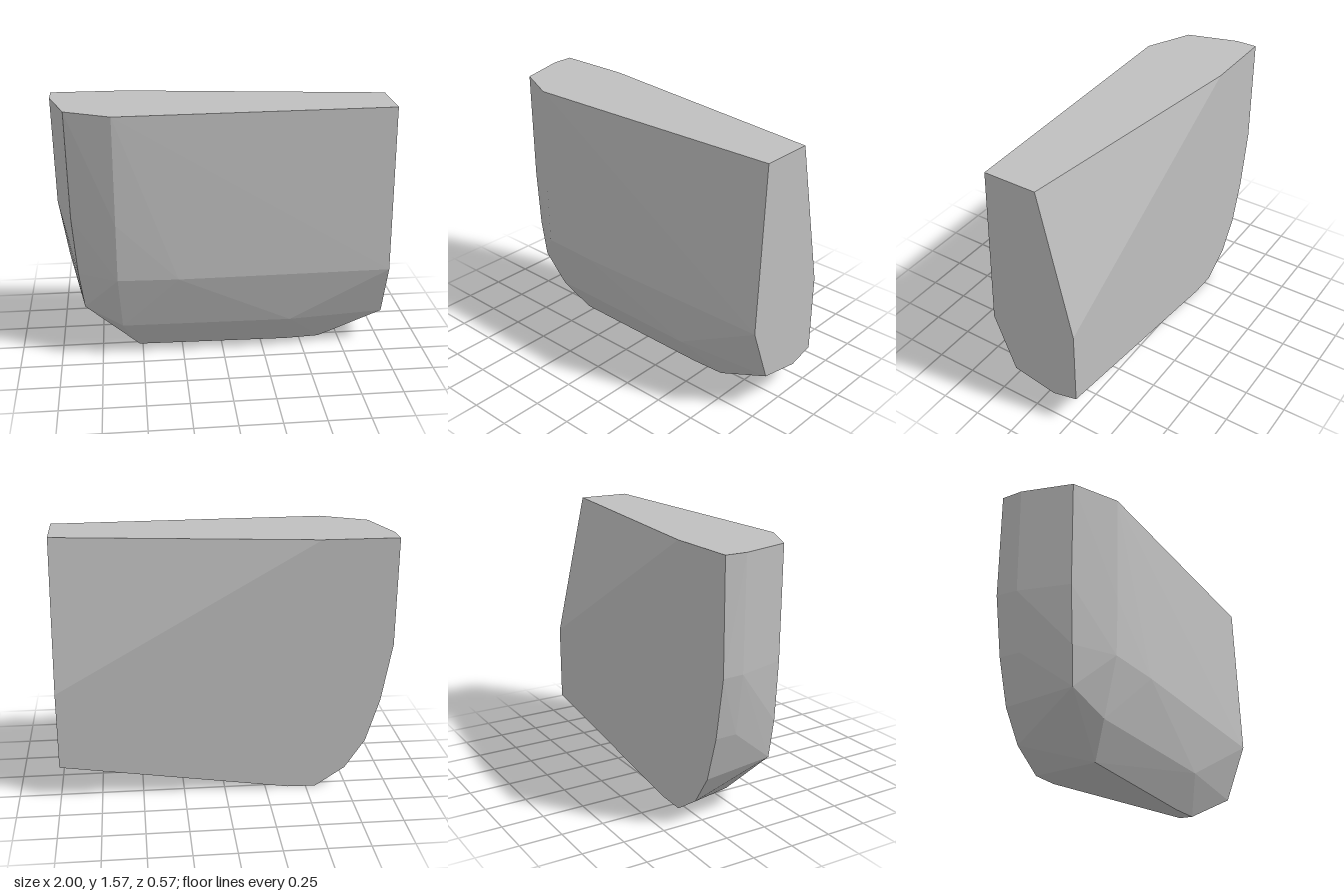
import * as THREE from 'three';
import { ConvexGeometry } from 'three/addons/geometries/ConvexGeometry.js';

const BACK = -0.29, TOP = 1.57;

export function createModel() {
  const group = new THREE.Group();
  group.name = 'facetedBlock';
  const stone = new THREE.MeshStandardMaterial({ color: 0xbfbfbf });
  stone.name = 'plainGrey';

  // flat top outline: x, z
  const top = [[-1, BACK], [-1, -0.16], [-0.91, 0.14], [-0.64, 0.27], [1, 0.23], [1, -0.09], [-0.55, BACK]]
    .map(([x, z]) => [x, TOP, z]);

  // flat back outline below the top: x, y
  const back = [[-1, 0.92], [-0.94, 0.565], [-0.86, 0.3], [-0.74, 0.12], [-0.56, 0], [-0.39, 0.003], [1, 0.205], [1, 0.68]]
    .map(([x, y]) => [x, y, BACK]);

  // flat right-hand end: y, z
  const end = [[0.165, -0.13], [0.22, 0.14], [0.565, 0.27]].map(([y, z]) => [1, y, z]);

  // curved left side
  const side = [
    [-0.99, 0.92, -0.16], [-0.935, 0.565, -0.16],
    [-0.9, 0.92, 0.14], [-0.875, 0.565, 0.14], [-0.845, 0.335, 0.13],
  ];

  // front face and its slopes down to the base
  const front = [
    [-0.64, 0.92, 0.276], [-0.64, 0.565, 0.272], [-0.28, 0.565, 0.285],
    [-0.62, 0.22, 0.185], [0.41, 0.22, 0.2],
    [-0.52, 0.025, 0.07], [0.41, 0.011, 0.065], [0.62, 0.02, 0.065], [0.6, 0.018, -0.01],
  ];

  const points = [...top, ...back, ...end, ...side, ...front].map((p) => new THREE.Vector3(...p));
  const block = new THREE.Mesh(new ConvexGeometry(points), stone);
  block.name = 'block';
  group.add(block);
  return group;
}
